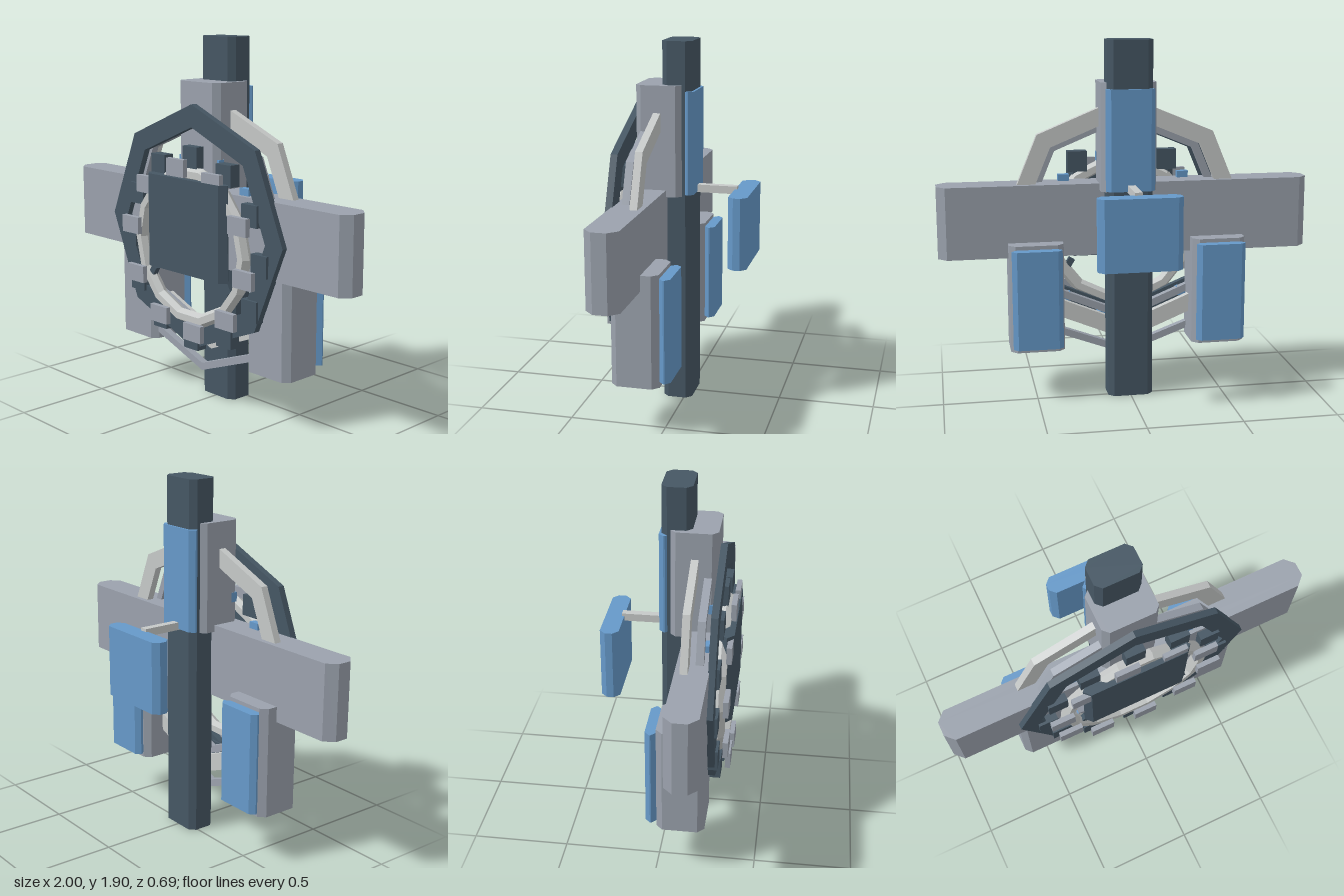
import * as THREE from 'three';

const paint = (name, color) => {
  const m = new THREE.MeshStandardMaterial({ color });
  m.name = name;
  return m;
};

export function createModel() {
  const root = new THREE.Group();
  root.name = 'station';
  const dark = paint('dark slate', 0x465764);
  const grey = paint('hull grey', 0x9ba2ad);
  const light = paint('pale grey', 0xc6c9c8);
  const blue = paint('panel blue', 0x6699c9);

  const add = (name, geometry, material, parent = root) => {
    const mesh = new THREE.Mesh(geometry, material);
    mesh.name = name;
    parent.add(mesh);
    return mesh;
  };
  const group = (name) => {
    const g = new THREE.Group();
    g.name = name;
    root.add(g);
    return g;
  };

  // Upright block whose four vertical edges are chamfered by c
  const block = (name, x0, x1, y0, y1, z0, z1, c, material) => {
    const pts = [
      [x0 + c, -z1], [x1 - c, -z1], [x1, -z1 + c], [x1, -z0 - c],
      [x1 - c, -z0], [x0 + c, -z0], [x0, -z0 - c], [x0, -z1 + c],
    ].map(([x, y]) => new THREE.Vector2(x, y));
    const geo = new THREE.ExtrudeGeometry(new THREE.Shape(pts), { depth: y1 - y0, bevelEnabled: false });
    geo.rotateX(-Math.PI / 2).translate(0, y0, 0);
    return add(name, geo, material);
  };

  // Flat eight-sided ring with a corner at the top
  const octagon = (r) => Array.from({ length: 8 }, (_, i) => {
    const a = i * Math.PI / 4;
    return new THREE.Vector2(r * Math.cos(a), r * Math.sin(a));
  });
  const ring = (name, outer, inner, z0, z1, material) => {
    const shape = new THREE.Shape(octagon(outer));
    shape.holes.push(new THREE.Path(octagon(inner)));
    const geo = new THREE.ExtrudeGeometry(shape, { depth: z1 - z0, bevelEnabled: false });
    add(name, geo.translate(0, 0.935, z0), material);
  };

  // Main hull
  block('spine', -0.12, 0.12, 0, 1.9, -0.04, 0.115, 0.03, dark);
  block('crossbeam', -1, 1, 0.76, 1.145, 0.085, 0.25, 0.046, grey);
  block('upperModule', -0.147, 0.147, 1.11, 1.68, 0.005, 0.245, 0.03, grey);
  block('upperPanel', -0.13, 0.13, 1.12, 1.65, -0.052, 0.006, 0.025, blue);
  for (const s of [-1, 1]) {
    const side = s > 0 ? 'left' : 'right';
    const span = (a, b) => (s > 0 ? [a, b] : [-b, -a]);
    block(side + 'LowerModule', ...span(0.347, 0.635), 0.26, 0.84, 0, 0.245, 0.033, grey);
    block(side + 'LowerPanel', ...span(0.36, 0.625), 0.29, 0.82, -0.055, 0.002, 0.025, blue);
  }

  // Rear panel on its boom
  block('rearPanel', -0.217, 0.217, 0.765, 1.14, -0.345, -0.248, 0.03, blue);
  add('rearBoom', new THREE.BoxGeometry(0.04, 0.04, 0.22).translate(0, 1.135, -0.15), light);

  // Octagonal rings, back to front
  ring('backRing', 0.667, 0.57, 0.112, 0.15, light);
  ring('middleRing', 0.572, 0.53, 0.178, 0.217, grey);
  ring('frontRing', 0.635, 0.52, 0.245, 0.28, dark);

  // Chevron brace between the lower modules
  const brace = new THREE.Shape([
    [-0.4, 0.314], [0, 0.165], [0.4, 0.314], [0.4, 0.354], [0, 0.205], [-0.4, 0.354],
  ].map(([x, y]) => new THREE.Vector2(x, y)));
  add('lowerBrace', new THREE.ExtrudeGeometry(brace, { depth: 0.038, bevelEnabled: false }).translate(0, 0, 0.178), grey);

  // Faceted inner hoop
  const hoop = new THREE.TorusGeometry(0.385, 0.036, 6, 14).toNonIndexed();
  hoop.computeVertexNormals();
  add('innerHoop', hoop.translate(0, 0.845, 0.285), light);

  // Upright blocks spaced around the hoop
  const circle = (name, count, start, rx, ry, size, z, material) => {
    const g = group(name + 's');
    const geo = new THREE.BoxGeometry(...size);
    for (let i = 0; i < count; i++) {
      const a = THREE.MathUtils.degToRad(start + i * 360 / count);
      add(name, geo, material, g).position.set(rx * Math.cos(a), 0.83 + ry * Math.sin(a), z);
    }
  };
  circle('hoopTile', 10, 98, 0.43, 0.425, [0.13, 0.09, 0.027], 0.328, grey);
  circle('darkPod', 12, 0, 0.49, 0.475, [0.105, 0.11, 0.06], 0.264, dark);
  circle('bluePod', 12, 15, 0.46, 0.46, [0.06, 0.05, 0.035], 0.212, blue);

  // Front plate and its two small lower clips
  block('frontPlate', -0.296, 0.296, 0.71, 1.2, 0.275, 0.345, 0.034, dark);
  for (const s of [-1, 1]) {
    const clip = add('plateClip', new THREE.BoxGeometry(0.035, 0.045, 0.03), dark);
    clip.position.set(s * 0.285, 0.675, 0.29);
    clip.rotation.z = s * 0.55;
  }
  return root;
}
